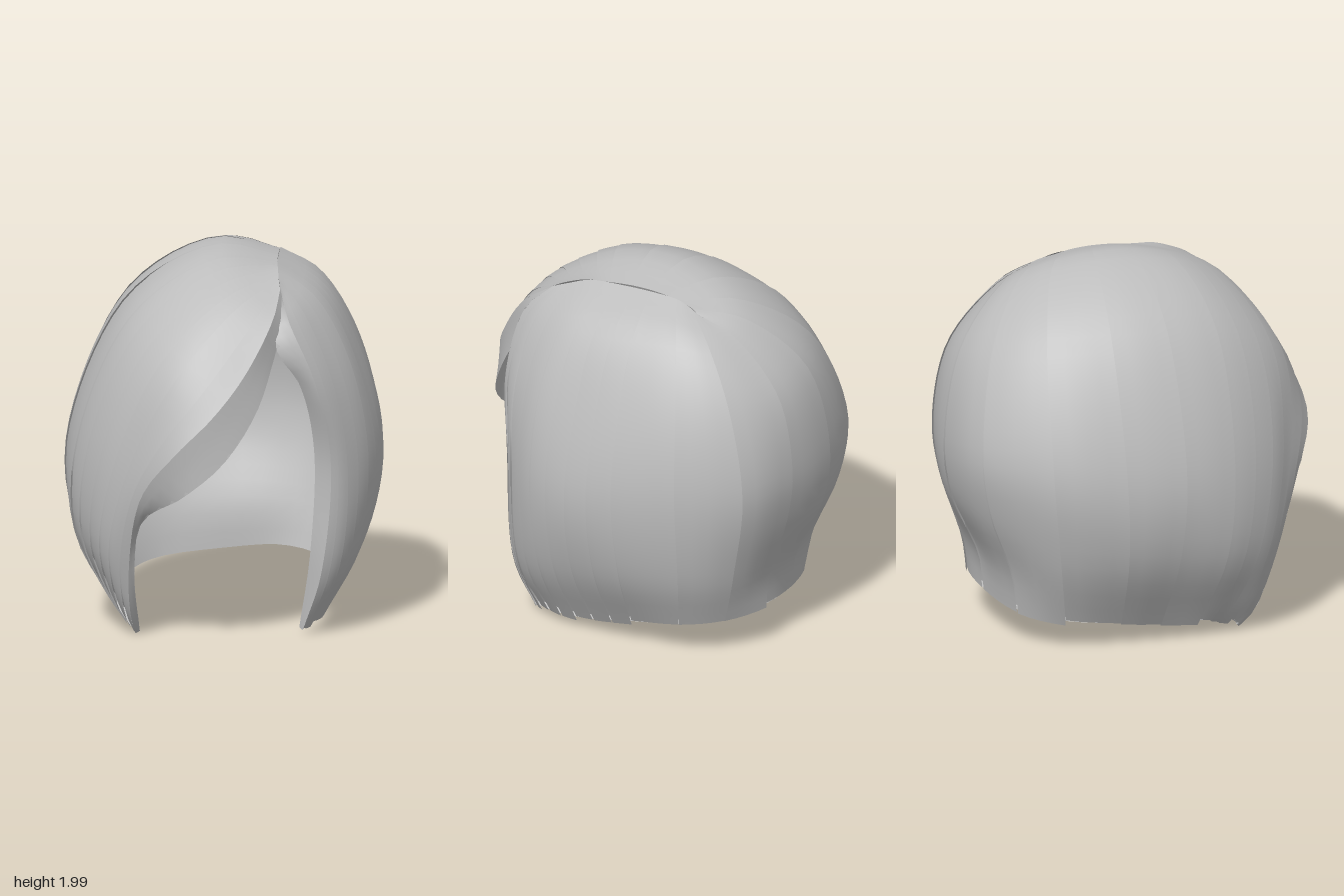
import * as THREE from 'three';

// Guide curves, each a run of x, y, z from the parting down to the hem.
// Swept fringe, from the turned-under lip to the right temple
const fringe = [
  [.32, 1.82, .46, .33, 1.68, .57, .29, 1.52, .66, .2, 1.25, .82, .03, 1, .94, -.17, .83, .95, -.4, .65, .76, -.44, .35, .68, -.42, .02, .51],
  [.31, 1.84, .46, .28, 1.71, .64, .14, 1.45, .83, -.02, 1.25, .94, -.22, 1.05, .965, -.4, .8, .85, -.47, .37, .7, -.46, .1, .6, -.44, .01, .52],
  [.3, 1.87, .4, .1, 1.77, .6, -.22, 1.42, .82, -.44, 1, .8, -.57, .5, .68, -.53, .18, .57, -.47, .04, .48],
  [.29, 1.91, .28, 0, 1.86, .47, -.36, 1.57, .63, -.6, 1.03, .65, -.67, .5, .56, -.57, .18, .45, -.5, .06, .39],
  [.28, 1.92, .15, -.05, 1.95, .27, -.46, 1.68, .38, -.74, 1.05, .4, -.76, .52, .36, -.54, .08, .26],
];
// Right side and back
const back = [
  [.28, 1.93, .03, -.05, 1.99, .06, -.5, 1.72, .1, -.81, 1, .12, -.78, .55, .1, -.54, .09, .06],
  [.28, 1.93, -.08, -.05, 1.985, -.15, -.5, 1.71, -.2, -.8, 1, -.2, -.77, .55, -.18, -.55, .11, -.16],
  [.28, 1.92, -.18, 0, 1.94, -.36, -.42, 1.67, -.52, -.71, 1.02, -.57, -.67, .55, -.52, -.52, .14, -.45],
  [.28, 1.9, -.27, .08, 1.88, -.5, -.24, 1.6, -.76, -.44, 1.07, -.875, -.43, .75, -.83, -.39, .4, -.7, -.36, .17, -.66],
  [.29, 1.88, -.35, .16, 1.82, -.58, 0, 1.54, -.86, -.06, 1.09, -.965, -.06, .78, -.935, -.05, .4, -.77, -.04, .2, -.75],
  [.3, 1.86, -.38, .28, 1.77, -.58, .28, 1.48, -.84, .28, 1.06, -.925, .27, .78, -.89, .25, .4, -.77, .24, .22, -.75],
];
// Left side, ending at its own rounded lip
const leftSide = [
  [.29, 1.88, -.34, .42, 1.75, -.51, .53, 1.45, -.69, .58, 1, -.79, .53, .52, -.71, .45, .2, -.62],
  [.28, 1.91, -.25, .48, 1.77, -.35, .66, 1.44, -.44, .75, 1, -.48, .69, .5, -.47, .56, .17, -.41],
  [.28, 1.92, -.1, .51, 1.77, -.12, .7, 1.42, -.13, .81, .95, -.14, .74, .48, -.15, .55, .12, -.13],
  [.28, 1.92, .08, .52, 1.76, .1, .7, 1.41, .12, .815, .9, .13, .73, .45, .13, .53, .07, .1],
  [.28, 1.91, .25, .49, 1.76, .3, .67, 1.41, .35, .76, .9, .36, .69, .4, .34, .51, .05, .3],
  [.3, 1.87, .38, .42, 1.74, .48, .57, 1.4, .54, .66, .9, .52, .61, .35, .5, .46, .04, .44],
  [.31, 1.84, .46, .36, 1.7, .6, .5, 1.38, .64, .58, .95, .585, .53, .35, .58, .43, .03, .5],
  [.32, 1.82, .46, .3, 1.56, .66, .42, 1.36, .61, .49, 1, .53, .47, .45, .53, .41, .04, .47],
];

const curves = [...fringe, ...back, ...leftSide].map(a => {
  const pts = [];
  for (let i = 0; i < a.length; i += 3) pts.push(new THREE.Vector3(a[i], a[i + 1], a[i + 2]));
  return new THREE.CatmullRomCurve3(pts, false, 'centripetal');
});
const LAST = curves.length - 1;

// Point on the hair surface: u runs across the guides, v from parting to hem
function pointAt(u, v) {
  const i = Math.min(Math.floor(u), LAST - 1), t = u - i;
  const at = k => curves[k].getPointAt(v);
  if (i === 0 || i === LAST - 1) return at(i).lerp(at(i + 1), t);
  const p = [i - 1, i, i + 1, i + 2].map(k => at(THREE.MathUtils.clamp(k, 1, LAST - 1)));
  const w = [
    (-t + 2 * t * t - t ** 3) / 2, (2 - 5 * t * t + 3 * t ** 3) / 2,
    (t + 4 * t * t - 3 * t ** 3) / 2, (t ** 3 - t * t) / 2,
  ];
  return p.reduce((sum, q, k) => sum.addScaledVector(q, w[k]), new THREE.Vector3());
}

// The same point pushed along the outward normal
function offsetPoint(u, v, d) {
  const p = pointAt(u, v);
  if (d === 0) return p;
  const e = 0.02;
  const du = pointAt(Math.min(u + e, LAST), v).sub(pointAt(Math.max(u - e, 0), v));
  const dv = pointAt(u, Math.min(v + e, 1)).sub(pointAt(u, Math.max(v - e, 0)));
  return p.addScaledVector(du.cross(dv).normalize(), d);
}

// Grid of (nu x nv) cells from a function of s, t in 0..1
function patch(nu, nv, fn) {
  const pos = [], idx = [];
  for (let j = 0; j <= nv; j++)
    for (let i = 0; i <= nu; i++) pos.push(...fn(i / nu, j / nv).toArray());
  for (let j = 0; j < nv; j++)
    for (let i = 0; i < nu; i++) {
      const a = j * (nu + 1) + i, b = a + 1, c = a + nu + 1, d = c + 1;
      idx.push(a, b, c, b, d, c);
    }
  const g = new THREE.BufferGeometry();
  g.setAttribute('position', new THREE.Float32BufferAttribute(pos, 3));
  g.setIndex(idx);
  g.computeVertexNormals();
  return g;
}

export function createModel() {
  const hair = new THREE.MeshStandardMaterial({ color: 0xbcbcbc, side: THREE.DoubleSide });
  hair.name = 'hair grey';
  const group = new THREE.Group();
  group.name = 'bobHair';
  const add = (name, geometry) => {
    const mesh = new THREE.Mesh(geometry, hair);
    mesh.name = name;
    group.add(mesh);
  };

  // Turned-under lips along the face opening
  add('fringeLip', patch(3, 28, (s, t) => pointAt(s, t)));
  add('leftLip', patch(3, 28, (s, t) => pointAt(LAST - 1 + s, t)));

  // Overlapping strands, narrow at the front and broad at the back,
  // each lifted slightly along one edge, with a ragged hem
  for (let u = 1, k = 0; u < LAST - 1; k++) {
    const start = u, width = u < 4 || u >= 13 ? 0.5 : 1, end = 1 - 0.006 * ((k * 7) % 3);
    add('strand' + (k + 1), patch(4, 26, (s, t) =>
      offsetPoint(start + s * width, t * end, k === 0 ? 0 : 0.008 * (1 - s) * Math.min(1, t * 3))));
    u += width;
  }

  // Inner lining, tapering to meet the lips and the parting
  const depth = (u, v) => -0.03 * Math.min(1, u / 2, (LAST - u) / 2, v * 4);
  add('lining', patch(54, 24, (s, t) => offsetPoint(s * LAST, t, depth(s * LAST, t))));

  // Hem rim closing the gap between strands and lining
  add('hemRim', patch(54, 1, (s, t) => offsetPoint(s * LAST, 0.99, t * depth(s * LAST, 1))));
  return group;
}
